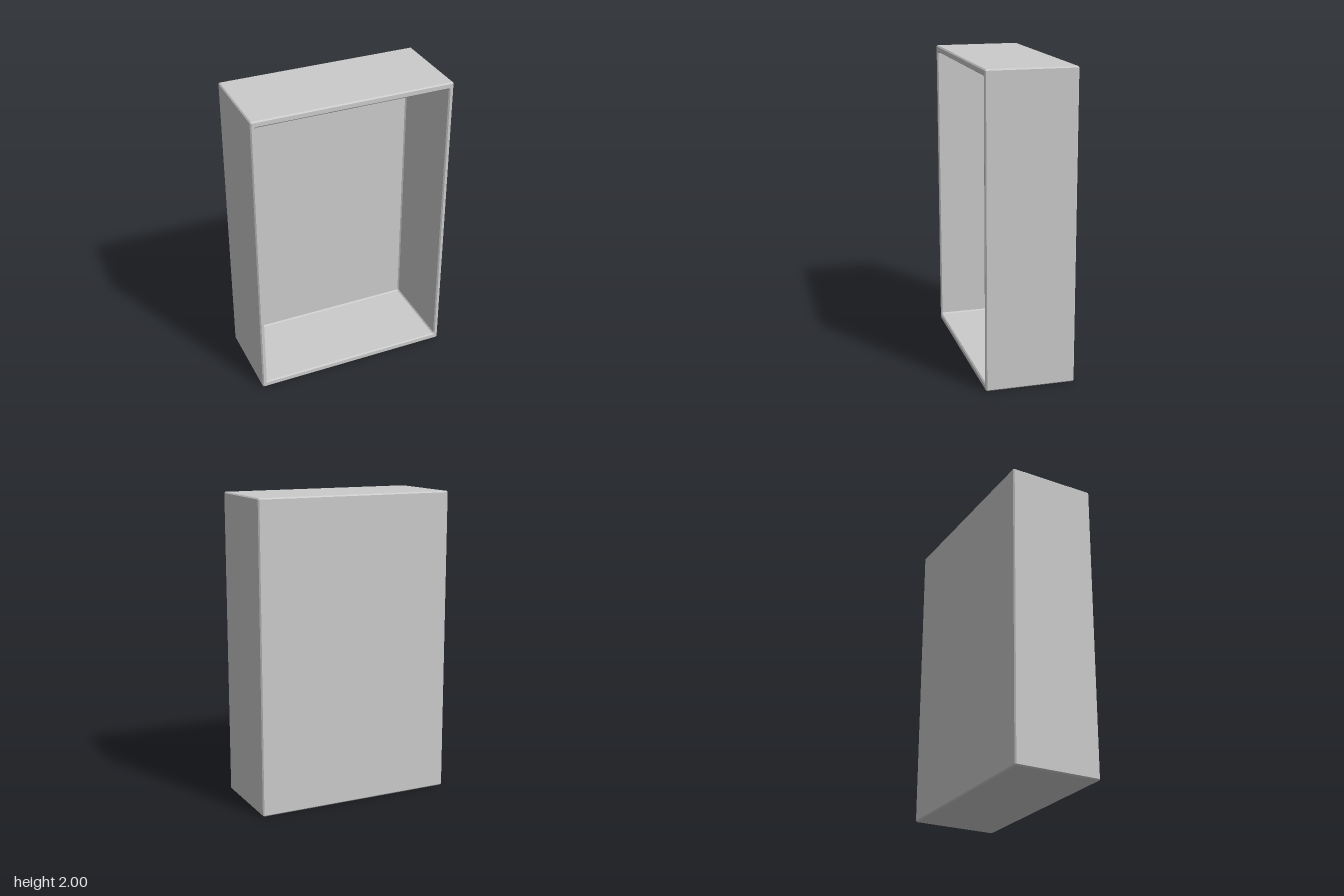
import * as THREE from 'three';

const BEVEL = 0.008;

// Rectangle with clipped corners, counter-clockwise seen from the front
function clippedRectangle(halfW, halfH, z, clip) {
  const x = halfW - clip, y = halfH - clip;
  return [
    [halfW, -y], [halfW, y], [x, halfH], [-x, halfH],
    [-halfW, y], [-halfW, -y], [-x, -halfH], [x, -halfH],
  ].map(([px, py]) => [px, py + 1, z]);
}

// Joins successive rings with quads and closes both ends
function loftRings(rings) {
  const count = rings[0].length, index = [];
  for (let r = 0; r < rings.length - 1; r++) {
    for (let j = 0; j < count; j++) {
      const a = r * count + j, b = r * count + (j + 1) % count;
      index.push(a, b, b + count, a, b + count, a + count);
    }
  }
  const last = (rings.length - 1) * count;
  for (let j = 1; j < count - 1; j++) {
    index.push(0, j + 1, j);
    index.push(last, last + j, last + j + 1);
  }
  const geometry = new THREE.BufferGeometry();
  geometry.setAttribute('position', new THREE.Float32BufferAttribute(rings.flat(2), 3));
  geometry.setIndex(index);
  const flat = geometry.toNonIndexed();
  flat.computeVertexNormals();
  return flat;
}

export function createModel() {
  const group = new THREE.Group();
  group.name = 'openCabinet';

  const W = 0.66, H = 1, D = 0.288;       // outer half sizes
  const w = 0.63, h = 0.957;              // inner half sizes
  const floorZ = -D + 0.015;              // inner face of the thin back panel
  const b = BEVEL, sharp = 0.0005;

  // Shell runs from the back panel, around the outside and rim, into the cavity
  const rings = [
    [W - b, H - b, -D, sharp],
    [W, H, -D + b, b],
    [W, H, D - b, b],
    [W - b, H - b, D, sharp],
    [w + b, h + b, D, b],
    [w, h, D - b, b],
    [w, h, floorZ + b, b],
    [w - b, h - b, floorZ, sharp],
  ].map((ring) => clippedRectangle(...ring));

  const shell = new THREE.Mesh(
    loftRings(rings),
    new THREE.MeshStandardMaterial({ color: 0xcccccc, flatShading: true }),
  );
  shell.name = 'cabinetShell';
  group.add(shell);
  return group;
}
